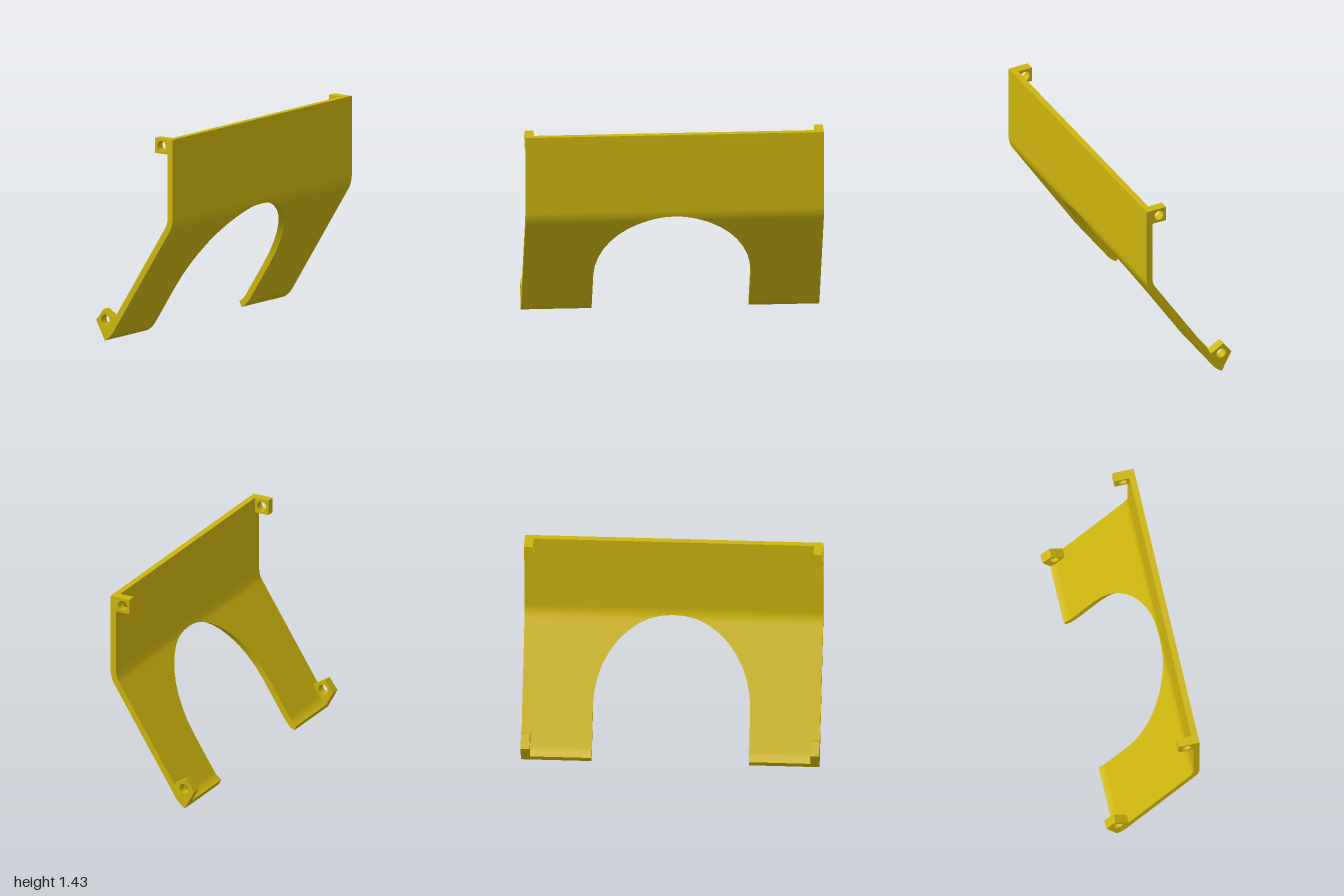
import * as THREE from 'three';
import { toCreasedNormals } from 'three/addons/utils/BufferGeometryUtils.js';

const HEIGHT = 1.43, HALF = 1, ARCH_R = 0.527, ARCH_Y = 0.32;

// Points on an arc, angles in degrees
function arc(cx, cy, r, from, to, steps = 8) {
  return Array.from({ length: steps + 1 }, (_, i) => {
    const a = THREE.MathUtils.degToRad(from + (to - from) * i / steps);
    return [cx + r * Math.cos(a), cy + r * Math.sin(a)];
  });
}

// Sheet faces as x over rising y: curled lip, slope, bend, upright
const outer = [...arc(-0.339, 0.168, 0.19, -62, -32.5), ...arc(0.127, 0.895, 0.19, -32.5, 0), [0.317, HEIGHT]];
outer[0] = [-0.25, 0];
const inner = [[-0.25, 0], ...arc(-0.339, 0.168, 0.147, -62, -32.5), ...arc(0.127, 0.895, 0.148, -32.5, 0), [0.275, HEIGHT]];

function xAt(profile, y) {
  let i = 1;
  while (i < profile.length - 1 && profile[i][1] < y) i++;
  const [x0, y0] = profile[i - 1], [x1, y1] = profile[i];
  return x0 + (x1 - x0) * (y - y0) / (y1 - y0);
}

// Half width of the arched opening at a height
function archAt(y) {
  if (y <= ARCH_Y) return ARCH_R;
  const d = ARCH_R ** 2 - (y - ARCH_Y) ** 2;
  return d > 1e-6 ? Math.sqrt(d) : 0;
}

function sheetGeometry() {
  // Rows at every profile point and every step of the arch
  const all = [...outer, ...inner, ...arc(0, ARCH_Y, ARCH_R, 0, 90, 10)].map((p) => p[1]).sort((a, b) => a - b);
  const rows = all.filter((y, i) => i === 0 || y - all[i - 1] > 1e-5);
  const pos = [];
  const tri = (a, b, c) => {
    const n = b.clone().sub(a).cross(c.clone().sub(a));
    if (n.length() > 1e-9) pos.push(...a, ...b, ...c);
  };
  const quad = (a, b, c, d) => { tri(a, b, c); tri(a, c, d); };

  for (const side of [1, -1]) {
    const ring = (y) => {
      const xo = xAt(outer, y), xi = xAt(inner, y), z = archAt(y) * side;
      const r = [[xo, HALF * side], [xo, z], [xi, z], [xi, HALF * side]].map(([x, pz]) => new THREE.Vector3(x, y, pz));
      return r;
    };
    for (let i = 0; i < rows.length - 1; i++) {
      const lo = ring(rows[i]), hi = ring(rows[i + 1]);
      for (let k = 0; k < 4; k++) {
        const n = (k + 1) % 4;
        if (k === 1 && archAt(rows[i]) === 0) continue;
        if (side > 0) quad(lo[k], lo[n], hi[n], hi[k]);
        else quad(lo[n], lo[k], hi[k], hi[n]);
      }
    }
    const top = ring(HEIGHT);
    if (side < 0) top.reverse();
    quad(...top);
  }
  const g = new THREE.BufferGeometry();
  g.setAttribute('position', new THREE.Float32BufferAttribute(pos, 3));
  return toCreasedNormals(g, 0.45);
}

// Mounting lug: flat outline with a round hole
function lugGeometry(points, hx, hy) {
  const shape = new THREE.Shape(points.map(([x, y]) => new THREE.Vector2(x, y)));
  shape.holes.push(new THREE.Path().absarc(hx, hy, 0.035, 0, Math.PI * 2, true));
  const g = new THREE.ExtrudeGeometry(shape, { depth: 0.06, bevelEnabled: false, curveSegments: 24 });
  return toCreasedNormals(g, 0.45);
}

export function createModel() {
  const model = new THREE.Group();
  model.name = 'bentBracket';
  const yellow = new THREE.MeshStandardMaterial({ color: 0xcdb40e });
  yellow.name = 'mustardYellow';

  const add = (name, geometry, z = 0) => {
    const mesh = new THREE.Mesh(geometry, yellow);
    mesh.name = name;
    mesh.position.z = z;
    model.add(mesh);
  };

  add('bentSheet', sheetGeometry());

  // Lugs at the four corners
  const upper = lugGeometry([[0.172, 1.325], [0.277, 1.325], [0.277, HEIGHT], [0.172, HEIGHT]], 0.224, 1.377);
  const lower = lugGeometry([[-0.27, 0.038], [-0.238, 0.06], [-0.215, 0.089], [-0.169, 0.16], [-0.26, 0.215], [-0.322, 0.133]], -0.245, 0.142);
  for (const [end, z] of [['front', 0.94], ['back', -1]]) {
    add(end + 'UpperLug', upper, z);
    add(end + 'LowerLug', lower, z);
  }
  return model;
}
